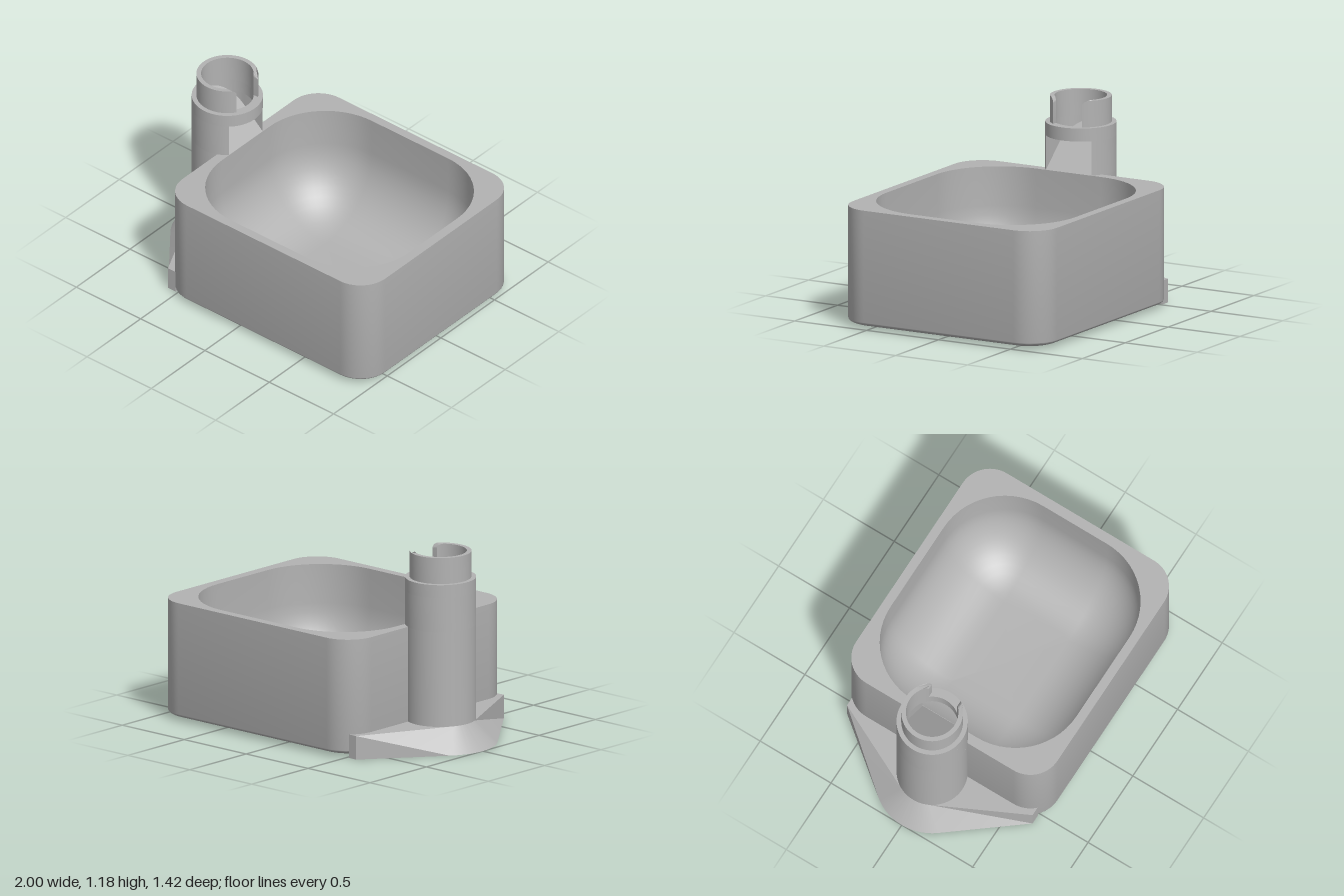
import * as THREE from 'three';
import { toCreasedNormals } from 'three/addons/utils/BufferGeometryUtils.js';

const TX = -0.66;          // tower axis
const R_OUT = 0.213, R_COLLAR = 0.185, R_BORE = 0.157;

// Skin a list of equal-length rings of [x, y, z]; rings turn from +x towards +z
function loft(rings) {
  const pos = [];
  const same = (p, q) => Math.hypot(p[0] - q[0], p[1] - q[1], p[2] - q[2]) < 1e-6;
  const tri = (a, b, c) => {
    if (!same(a, b) && !same(b, c) && !same(a, c)) pos.push(...a, ...b, ...c);
  };
  for (let j = 0; j < rings.length - 1; j++) {
    const n = rings[j].length;
    for (let i = 0; i < n; i++) {
      const k = (i + 1) % n;
      tri(rings[j][i], rings[j + 1][i], rings[j + 1][k]);
      tri(rings[j][i], rings[j + 1][k], rings[j][k]);
    }
  }
  const g = new THREE.BufferGeometry();
  g.setAttribute('position', new THREE.Float32BufferAttribute(pos, 3));
  return toCreasedNormals(g, 0.6);
}

function roundedRing(x0, x1, hz, r, y) {
  const ring = [], seg = 14;
  const corners = [[x1 - r, hz - r], [x0 + r, hz - r], [x0 + r, r - hz], [x1 - r, r - hz]];
  corners.forEach(([cx, cz], q) => {
    for (let i = 0; i <= seg; i++) {
      const a = (q + i / seg) * Math.PI / 2;
      ring.push([cx + r * Math.cos(a), y, cz + r * Math.sin(a)]);
    }
  });
  return ring;
}

const collapse = (ring, x) => ring.map(p => [x, p[1], 0]);

function basinGeometry() {
  const rings = [], steps = 12;
  // softly rounded underside and outer wall
  for (let i = 0; i <= steps; i++) {
    const a = i / steps * Math.PI / 2, d = 0.17 * (1 - Math.sin(a));
    rings.push(roundedRing(-0.575 + d, 1 - d, 0.71 - d, 0.19 - d, 0.044 - 0.04 * Math.cos(a)));
  }
  rings.unshift(collapse(rings[0], 0.2));
  rings.push(roundedRing(-0.575, 1, 0.71, 0.19, 0.73));
  // rim, then the cavity with its large floor fillet
  rings.push(roundedRing(-0.515, 0.94, 0.655, 0.43, 0.73));
  for (let i = 0; i <= steps; i++) {
    const a = i / steps * Math.PI / 2, d = 0.425 * (1 - Math.cos(a));
    rings.push(roundedRing(-0.515 + d, 0.94 - d, 0.655 - d, 0.43 - d, 0.49 - 0.43 * Math.sin(a)));
  }
  rings.push(collapse(rings[rings.length - 1], 0.2));
  return loft(rings);
}

// Foot outline: arc about the tower with tangents to the two side corners
function footRing(r, y) {
  const cx = 0.085, cz = 0.655;
  const t = Math.atan2(cz, cx) + Math.acos(r / Math.hypot(cx, cz));
  const ring = [[TX + 0.145, y, cz], [TX + cx, y, cz]];
  for (let i = 0; i <= 24; i++) {
    const a = t + (2 * Math.PI - 2 * t) * i / 24;
    ring.push([TX + r * Math.cos(a), y, r * Math.sin(a)]);
  }
  ring.push([TX + cx, y, -cz], [TX + 0.145, y, -cz]);
  return ring;
}

// Points of an arc about the tower axis, symmetric about x
function arc(r, start, n = 48) {
  const pts = [];
  for (let i = 0; i <= n; i++) {
    const a = start + (2 * Math.PI - 2 * start) * i / n;
    pts.push(new THREE.Vector2(TX + r * Math.cos(a), r * Math.sin(a)));
  }
  return pts;
}

function prism(shape, y0, y1, topRule) {
  const g = new THREE.ExtrudeGeometry(shape, { depth: y1 - y0, bevelEnabled: false, curveSegments: 48 });
  g.rotateX(-Math.PI / 2).translate(0, y0, 0);
  if (topRule) {
    const p = g.attributes.position;
    for (let i = 0; i < p.count; i++) {
      if (p.getY(i) > y1 - 1e-4) p.setY(i, topRule(p.getX(i), p.getZ(i)));
    }
  }
  return toCreasedNormals(g, 0.5);
}

// Collar arc with extra points beside the slot, for its rounded corners
function collarArc(r) {
  const near = [0.1, 0.102, 0.106, 0.112, 0.12, 0.13].map(z => Math.asin(z / r));
  const at = a => new THREE.Vector2(TX + r * Math.cos(a), r * Math.sin(a));
  return [...near.map(at), ...arc(r, near[5] + 0.1, 40), ...near.reverse().map(a => at(-a))];
}

export function createModel() {
  const group = new THREE.Group();
  const grey = new THREE.MeshStandardMaterial({ color: 0xb2b2b2 });
  grey.name = 'plain grey';
  const add = (name, geometry) => {
    const m = new THREE.Mesh(geometry, grey);
    m.name = name;
    group.add(m);
  };

  add('basin', basinGeometry());

  // sloping foot under the tower
  const low = footRing(0.34, 0), high = footRing(0.213, 0.145);
  add('foot', loft([collapse(low, TX), low, high, collapse(high, TX)]));

  // solid lower tower, cut flush inside the basin wall
  const lower = new THREE.Shape(arc(R_OUT, Math.acos(0.14 / R_OUT)));
  add('towerBase', prism(lower, 0.01, 0.729));

  // tower wall with an outlet open towards the basin
  const half = arc(R_BORE, Math.PI / 2, 32);
  const wall = new THREE.Shape([...arc(R_OUT, Math.asin(R_BORE / R_OUT) + 0.005), ...half.slice().reverse()]);
  add('towerWall', prism(wall, 0.729, 0.94));

  // chute falling through the bore to the outlet
  const lip = TX + 0.143;
  const bore = new THREE.Shape([new THREE.Vector2(lip, R_BORE), ...half, new THREE.Vector2(lip, -R_BORE)]);
  add('chute', prism(bore, 0.7, 0.8, x => 0.73 + (lip - x) * 0.9));

  // closed ring above the outlet
  const ring = new THREE.Shape().absarc(TX, 0, R_OUT, 0, Math.PI * 2);
  ring.holes.push(new THREE.Path().absarc(TX, 0, R_BORE, 0, Math.PI * 2, true));
  add('towerRing', prism(ring, 0.94, 1.02));

  // slotted collar with rounded slot corners
  const collar = new THREE.Shape([...collarArc(R_COLLAR), ...collarArc(R_BORE).reverse()]);
  const f = 0.03;
  add('collar', prism(collar, 1.02, 1.18, (x, z) => {
    if (x < TX) return 1.18;
    const d = Math.max(0, Math.min(f, Math.abs(z) - 0.1));
    return 1.18 - f + Math.sqrt(f * f - (f - d) ** 2);
  }));

  return group;
}
